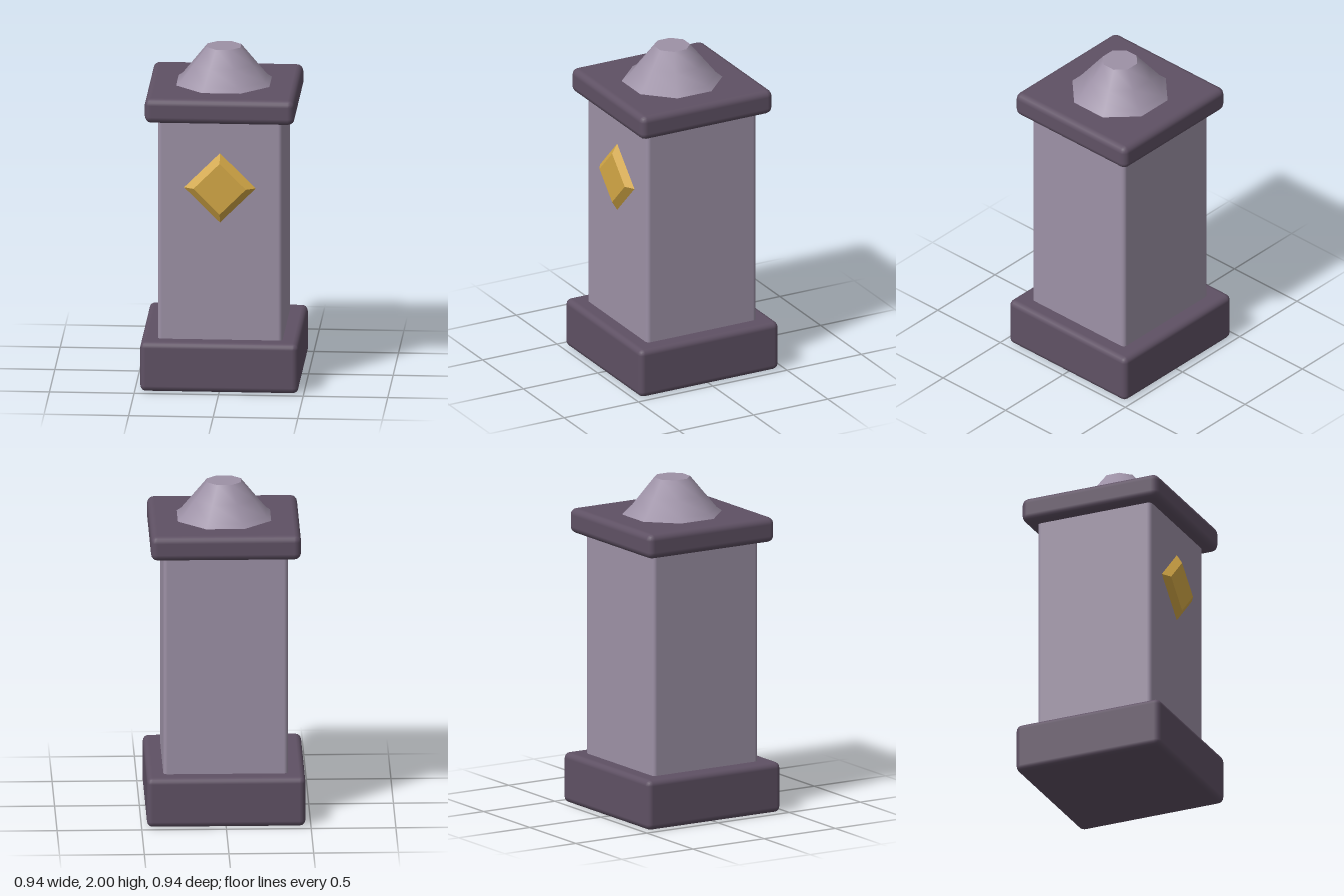
import * as THREE from 'three';
import { RoundedBoxGeometry } from 'three/addons/geometries/RoundedBoxGeometry.js';

const material = (name, color) => {
  const m = new THREE.MeshStandardMaterial({ color });
  m.name = name;
  return m;
};

export function createModel() {
  const group = new THREE.Group();
  group.name = 'stonePillar';
  const lightStone = material('lightStone', 0x9d91a6);
  const darkStone = material('darkStone', 0x5f5164);
  const gold = material('gold', 0xd4a846);

  const add = (name, geometry, mat) => {
    const mesh = new THREE.Mesh(geometry, mat);
    mesh.name = name;
    group.add(mesh);
    return mesh;
  };

  // Square blocks with softened edges, from y0 to y1
  const block = (name, width, y0, y1, radius, mat) => {
    const mesh = add(name, new RoundedBoxGeometry(width, y1 - y0, width, 2, radius), mat);
    mesh.position.y = (y0 + y1) / 2;
  };
  block('base', 0.936, 0, 0.302, 0.035, darkStone);
  block('shaft', 0.738, 0.26, 1.67, 0.025, lightStone);
  block('cap', 0.886, 1.632, 1.782, 0.04, darkStone);

  // Eight-sided finial with a flared foot and a flat top
  const profile = [[0.302, 1.77], [0.298, 1.784], [0.268, 1.805], [0.19, 1.9], [0.108, 2]]
    .map(([r, y]) => new THREE.Vector2(r, y));
  add('finial', new THREE.LatheGeometry(profile, 8, Math.PI / 8), lightStone);
  const top = new THREE.CircleGeometry(0.108, 8);
  top.rotateZ(Math.PI / 8).rotateX(-Math.PI / 2);
  add('finialTop', top, lightStone).position.y = 2;

  // Bevelled diamond on the front face
  const diamond = new THREE.CylinderGeometry(0.155, 0.222, 0.04, 4).toNonIndexed();
  diamond.rotateX(Math.PI / 2);
  diamond.computeVertexNormals();
  add('diamondEmblem', diamond, gold).position.set(0, 1.23, 0.383);

  return group;
}
